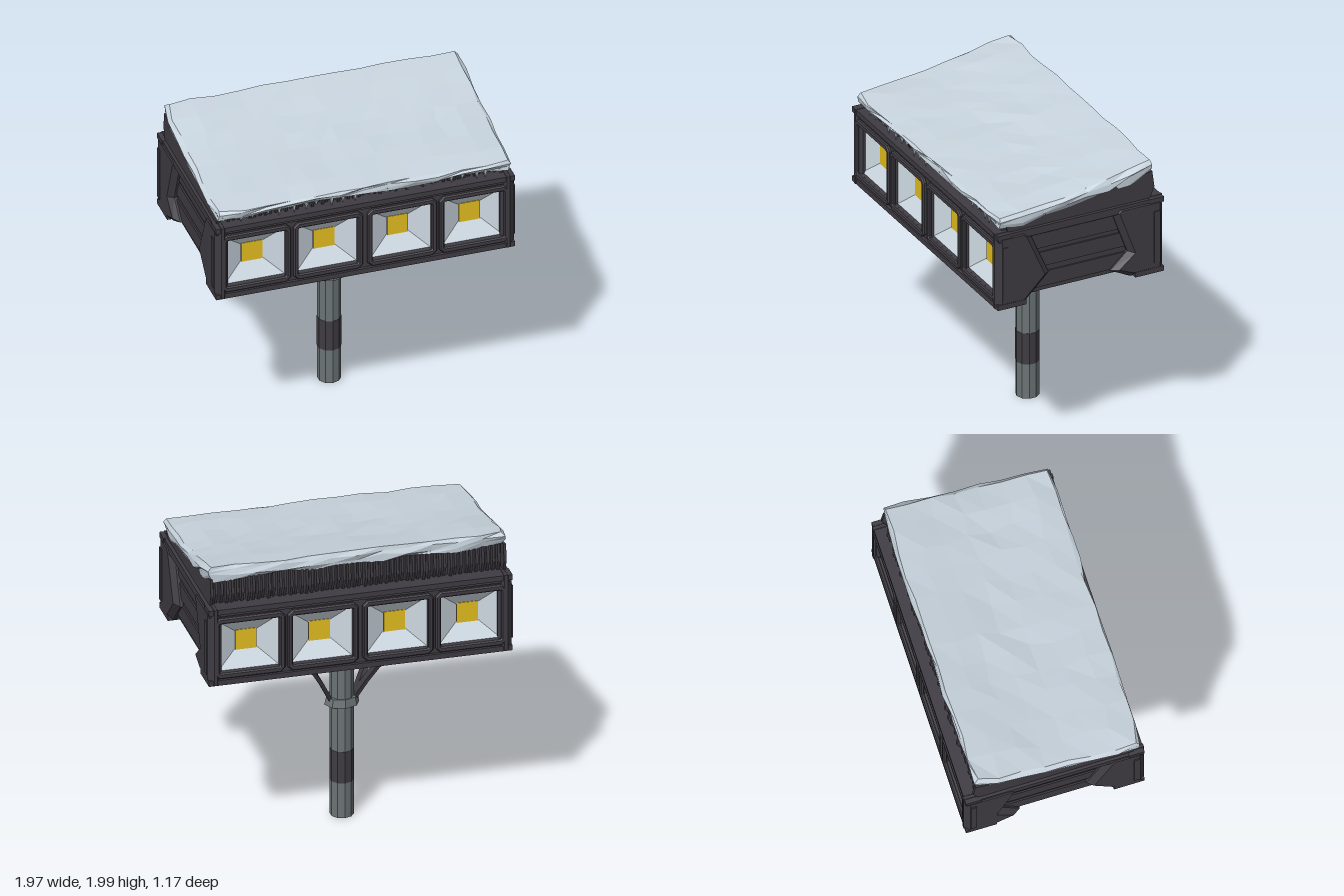
import * as THREE from 'three';

const mat = (name, color, double = false) => {
  const m = new THREE.MeshStandardMaterial({ color });
  m.name = name;
  m.flatShading = true;
  if (double) m.side = THREE.DoubleSide;
  return m;
};

export function createModel() {
  const model = new THREE.Group();
  model.name = 'floodlightMast';
  const dark = mat('darkMetal', 0x3f3c43, true);
  const steel = mat('poleSteel', 0x6c7476, true);
  const snowMat = mat('snow', 0xc8d4de);
  const mirror = mat('reflectorSilver', 0xced9e2, true);
  const yellow = mat('lampYellow', 0xe3bd1f);

  const add = (parent, name, geo, material, x = 0, y = 0, z = 0) => {
    const mesh = new THREE.Mesh(geo, material);
    mesh.name = name;
    mesh.position.set(x, y, z);
    parent.add(mesh);
    return mesh;
  };
  const box = (parent, name, w, h, d, x, y, z, m = dark) =>
    add(parent, name, new THREE.BoxGeometry(w, h, d), m, x, y, z);
  const poly = (pts) => new THREE.Shape(pts.map(([a, b]) => new THREE.Vector2(a, b)));
  // Rectangle of half sizes w, h with corners cut by c
  const rect = (x, y, w, h, c = 0) => poly(c
    ? [[x - w + c, y - h], [x + w - c, y - h], [x + w, y - h + c], [x + w, y + h - c],
      [x + w - c, y + h], [x - w + c, y + h], [x - w, y + h - c], [x - w, y - h + c]]
    : [[x - w, y - h], [x + w, y - h], [x + w, y + h], [x - w, y + h]]);
  const extrude = (shape, depth, bevel = 0) => new THREE.ExtrudeGeometry(shape, {
    depth, bevelEnabled: bevel > 0, bevelThickness: bevel, bevelSize: bevel, bevelOffset: -bevel, bevelSegments: 1,
  });
  // Extrudes a (z, y) profile along x, centred on x = 0
  const sideExtrude = (pts, width, bevel = 0) => {
    const g = extrude(poly(pts), width - 2 * bevel, bevel);
    g.translate(0, 0, -(width - 2 * bevel) / 2);
    return g.rotateY(-Math.PI / 2);
  };
  // Open four-sided funnel, wide end w x h (half sizes) towards +z
  const funnel = (w, h, narrow, depth) =>
    new THREE.CylinderGeometry(Math.SQRT2, narrow * Math.SQRT2, depth, 4, 1, true)
      .rotateY(Math.PI / 4).rotateX(Math.PI / 2).scale(w, h, 1);
  const noise = (a, b = 0, c = 0) => {
    const s = Math.sin(a * 127.1 + b * 311.7 + c * 74.7) * 43758.5453;
    return s - Math.floor(s) - 0.5;
  };

  // Mast: hollow pole, painted band, collar, head bracket
  const poleZ = -0.135;
  const tube = (name, r, y0, y1, m, open = true) => add(model, name,
    new THREE.CylinderGeometry(r, r, y1 - y0, 10, 1, open), m, 0, (y0 + y1) / 2, poleZ);
  tube('poleLower', 0.075, 0, 0.24, steel);
  tube('poleBand', 0.077, 0.24, 0.455, dark, false);
  tube('poleUpper', 0.075, 0.455, 1.15, steel);
  add(model, 'poleCollar', new THREE.CylinderGeometry(0.1, 0.112, 0.055, 8).scale(1, 1, 0.82), steel, 0, 0.79, poleZ);
  box(model, 'headBracket', 0.225, 0.15, 0.2, 0, 1.195, poleZ, mirror);
  for (const s of [-1, 1]) box(model, 'bracketFlange', 0.012, 0.14, 0.25, s * 0.117, 1.165, poleZ, mirror);

  // Curved flat braces, two each side, their tips sweeping out under the banks
  const centre = [[0.075, 0.8], [0.14, 0.93], [0.2, 1.03], [0.3, 1.14], [0.46, 1.195]];
  const outline = [...centre.map(([x, y]) => [x + 0.014, y - 0.006]),
    ...centre.map(([x, y]) => [x - 0.006, y + 0.01]).reverse()];
  for (const sx of [-1, 1]) for (const sz of [-1, 1]) {
    const g = extrude(poly(outline.map(([x, y]) => [x * sx, y])), 0.06);
    const p = g.attributes.position;
    for (let i = 0; i < p.count; i++) {
      const t = Math.max(0, (p.getY(i) - 0.8) / 0.4);
      const sweep = Math.max(0, (t - 0.88) / 0.12);
      p.setZ(i, p.getZ(i) - 0.03 + poleZ + sz * (0.135 * t + sweep * (sz > 0 ? 0.4 : 0.16)));
    }
    g.computeVertexNormals();
    add(model, 'brace', g, dark);
  }

  // Lamp bank, used on the front and turned round for the back
  const lampXs = [-0.711, -0.241, 0.241, 0.709];
  const makeBank = (name, cap) => {
    const bank = new THREE.Group();
    bank.name = name;
    const panel = rect(0, 1.47, 0.965, 0.25);
    lampXs.forEach((x) => panel.holes.push(rect(x, 1.46, 0.202, 0.177)));
    add(bank, 'lampPanel', extrude(panel, 0.065), dark, 0, 0, 0.495);
    box(bank, 'lampBacking', 1.9, 0.5, 0.09, 0, 1.47, 0.425);
    box(bank, 'topRail', 1.95, 0.035, 0.1, 0, 1.71, 0.53);
    box(bank, 'bottomRail', 1.95, 0.035, 0.2, 0, 1.225, 0.48);
    for (const x of lampXs) {
      const frame = rect(0, 0, 0.227, 0.208, 0.03);
      frame.holes.push(rect(0, 0, 0.194, 0.169, 0.006));
      add(bank, 'lampFrame', extrude(frame, 0.014, 0.008), dark, x, 1.458, 0.562);
      add(bank, 'lampBezel', funnel(0.203, 0.178, 0.955, 0.035), dark, x, 1.46, 0.5595);
      add(bank, 'reflector', funnel(0.194, 0.17, 0.36, 0.065), mirror, x, 1.46, 0.51);
      box(bank, 'lampEmitter', 0.136, 0.136, 0.009, x, 1.462, 0.482, yellow);
    }
    // Flared end caps
    for (const s of [-1, 1]) {
      add(bank, 'endCap', sideExtrude(cap, 0.09, 0.035), dark, s * 0.932, 0, 0);
      box(bank, 'capRib', 0.02, 0.36, 0.04, s * 0.974, 1.46, 0.53);
    }
    return bank;
  };
  model.add(makeBank('frontLampBank',
    [[0.585, 1.21], [0.38, 1.21], [0.21, 1.38], [0.35, 1.7], [0.39, 1.73], [0.585, 1.73]]));
  const back = makeBank('backLampBank',
    [[0.585, 1.21], [0.36, 1.21], [0.22, 1.28], [0.34, 1.39], [0.23, 1.69], [0.27, 1.73], [0.585, 1.73]]);
  back.rotation.y = Math.PI;
  model.add(back);

  // Housing between the banks
  box(model, 'housingTop', 1.94, 0.05, 1.14, 0, 1.7, 0);
  for (const s of [-1, 1]) {
    box(model, 'endWall', 0.04, 0.46, 0.8, s * 0.9, 1.48, 0);
    for (const y of [1.33, 1.47, 1.6]) box(model, 'endRidge', 0.015, 0.1, 0.7, s * 0.923, y, 0);
  }

  // Underside: recessed floor, pipes and cross beams
  box(model, 'housingFloor', 1.8, 0.03, 0.8, 0, 1.34, 0);
  for (let i = 0; i < 9; i++) {
    const z = -0.34 + i * 0.085;
    const pipe = new THREE.CylinderGeometry(0.02, 0.02, 1.55 + 0.3 * noise(i), 6).rotateZ(Math.PI / 2);
    add(model, 'undersidePipe', pipe, i % 2 ? steel : dark, 0.1 * noise(i, 3), 1.295 + 0.02 * noise(i, 5), z);
  }
  for (const x of [-0.6, 0.6]) box(model, 'crossBeam', 0.05, 0.06, 0.8, x, 1.285, 0);
  box(model, 'mountPlate', 0.4, 0.08, 0.5, 0, 1.29, poleZ);

  // Sloping heat fins under the snow
  add(model, 'finCore', sideExtrude([[0.47, 1.72], [0.47, 1.77], [-0.46, 1.89], [-0.46, 1.72]], 1.86), dark);
  const fins = 56;
  for (let i = 0; i < fins; i++) {
    const x = -0.94 + (1.88 * i) / (fins - 1);
    const f = 0.53 + 0.03 * noise(i, 1);
    const b = -0.5 + 0.025 * noise(i, 2);
    const pts = [[f - 0.03, 1.715], [f, 1.8], [0, 1.83], [b, 1.91], [b - 0.015, 1.8], [b + 0.02, 1.715]];
    add(model, 'heatFin', sideExtrude(pts, 0.017), dark, x + 0.008 * noise(i, 4), 0, 0);
  }

  // Snow slab: a segmented block bent to the slope, edges softened, ends drooping
  const snow = new THREE.BoxGeometry(2, 2, 2, 12, 3, 7);
  const p = snow.attributes.position;
  for (let i = 0; i < p.count; i++) {
    const x = p.getX(i), y = p.getY(i), z = p.getZ(i);
    const edge = Math.max(Math.abs(x), Math.abs(z)) > 0.99;
    const corner = Math.min(Math.abs(x), Math.abs(z)) > 0.99;
    const n = (k) => noise(Math.round(x * 70) / 10 + k, Math.round(y * 30) / 10, Math.round(z * 40) / 10);
    const rear = (1 - z) / 2;
    const top = 1.835 + 0.08 * rear + 0.08 * rear * rear;
    const bottom = 1.775 + 0.125 * Math.pow(rear, 1.5) - 0.025 * Math.pow(Math.abs(x), 8) * (1 - rear * rear);
    const v = (y + 1) / 2;
    const pull = (edge && Math.abs(y) > 0.99 ? 0.98 : 1) * (corner ? 0.985 : 1);
    const round = edge && y > 0.99 ? -0.008 : 0;
    const wobble = edge && y < 0 ? 0.035 : 0.01;
    p.setXYZ(i, x * 0.966 * pull + (edge ? 0.018 : 0.05) * n(1),
      bottom + (top - bottom) * v + round + wobble * n(2),
      0.025 + z * 0.54 * pull + (edge ? 0.028 : 0.045) * n(3));
  }
  snow.computeVertexNormals();
  add(model, 'snowSlab', snow, snowMat);

  // Short icicles along the front lip
  for (let i = 0; i < 22; i++) {
    const h = 0.05 + 0.03 * noise(i, 7);
    const cone = new THREE.ConeGeometry(0.016, h, 5).rotateX(Math.PI);
    add(model, 'icicle', cone, snowMat, -0.9 + i * 0.0857 + 0.05 * noise(i, 8), 1.79 - h / 2, 0.545);
  }

  return model;
}
